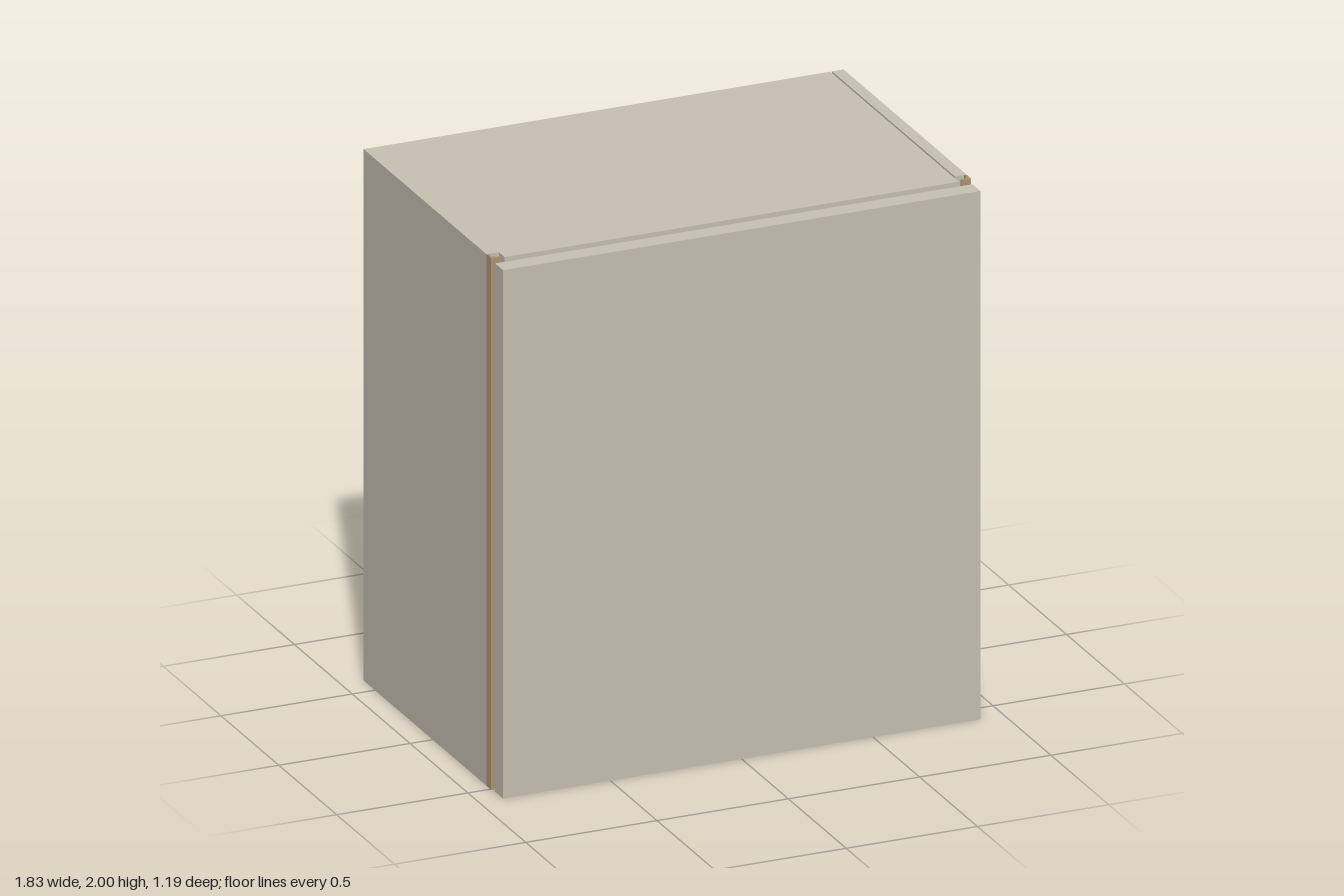
import * as THREE from 'three';

export function createModel() {
  const group = new THREE.Group();
  const board = new THREE.MeshStandardMaterial({ color: 0xc8c0b2 });
  board.name = 'beige board';
  const bronze = new THREE.MeshStandardMaterial({ color: 0xab9673 });
  bronze.name = 'bronze profile';

  // Box given by its minimum and maximum corners
  function panel(name, [x0, y0, z0], [x1, y1, z1]) {
    const mesh = new THREE.Mesh(new THREE.BoxGeometry(x1 - x0, y1 - y0, z1 - z0), board);
    mesh.position.set((x0 + x1) / 2, (y0 + y1) / 2, (z0 + z1) / 2);
    mesh.name = name;
    group.add(mesh);
  }

  const back = -0.597, sideFront = 0.465, deckFront = 0.515;
  const inner = 0.867, outer = 0.914, t = 0.05, height = 2;

  // Carcass: the left panel stands a hair clear of the rest
  panel('leftSide', [0.87, 0, back], [outer, height, sideFront]);
  panel('rightSide', [-outer, 0, back], [-inner, height, sideFront]);
  panel('topPanel', [-inner, height - t, back], [0.863, height, deckFront]);
  panel('bottomPanel', [-inner, 0, back], [0.863, t, deckFront]);
  panel('backPanel', [-inner, t, -0.515], [0.863, height - t, -0.5]);

  // Door in front, with a narrow gap to the carcass
  panel('door', [-0.909, 0, 0.528], [0.909, 1.988, 0.597]);

  // Upright angle profiles in the front corners
  for (const s of [1, -1]) {
    const points = [
      [0.914, 0.466], [0.914, 0.506], [0.877, 0.506], [0.877, 0.498],
      [0.897, 0.498], [0.897, 0.488], [0.905, 0.488], [0.905, 0.466],
    ];
    const shape = new THREE.Shape(points.map(([x, z]) => new THREE.Vector2(s * x, -z)));
    const geometry = new THREE.ExtrudeGeometry(shape, { depth: height, bevelEnabled: false });
    geometry.rotateX(-Math.PI / 2);
    const mesh = new THREE.Mesh(geometry, bronze);
    mesh.name = s > 0 ? 'leftEdgeProfile' : 'rightEdgeProfile';
    group.add(mesh);
  }

  return group;
}
